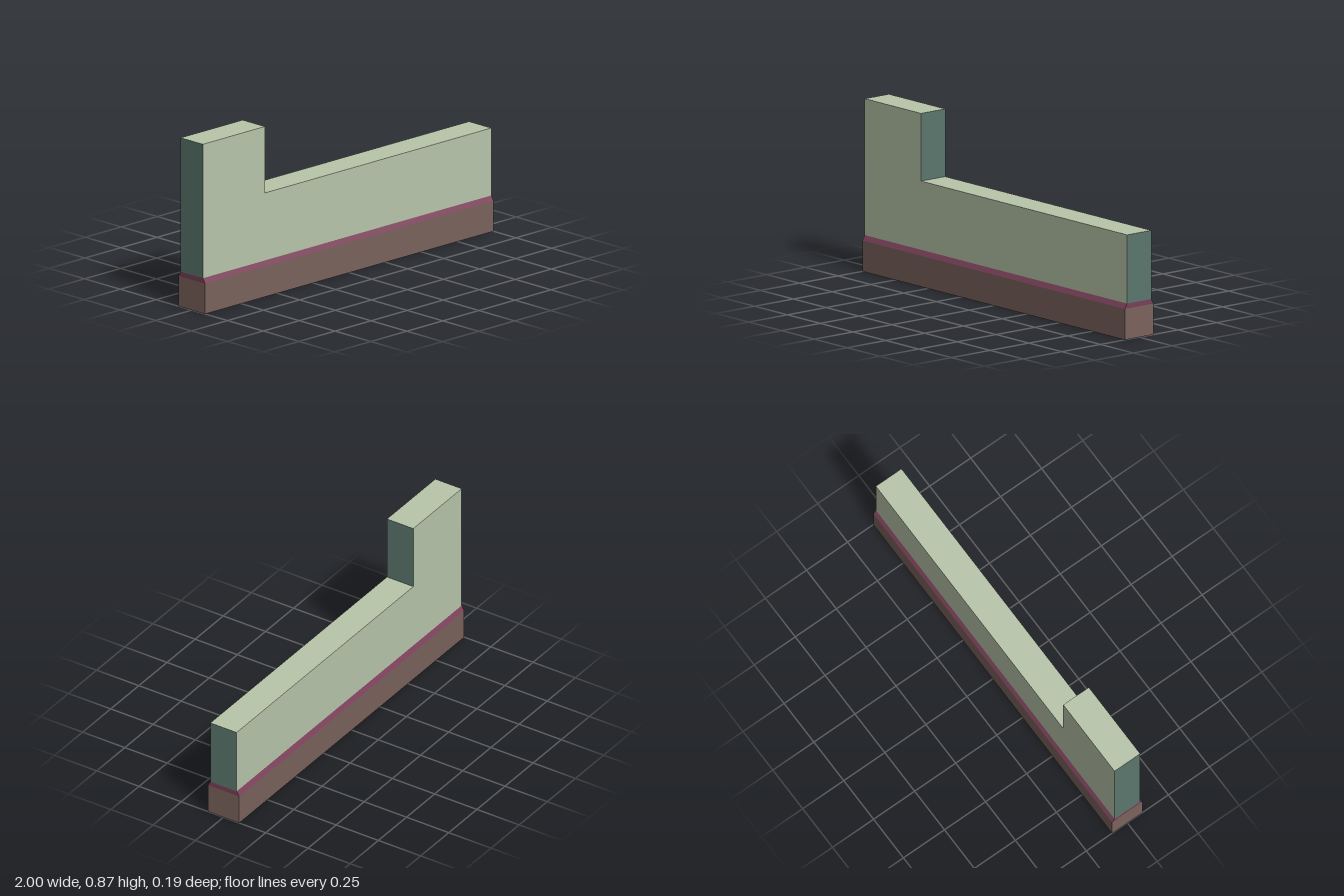
import * as THREE from 'three';

const paint = (name, color) => {
  const m = new THREE.MeshStandardMaterial({ color, side: THREE.DoubleSide });
  m.name = name;
  return m;
};

// Flat convex panels, each listed counter-clockwise as seen from outside
function panels(name, material, faces) {
  const pos = [];
  for (const f of faces) {
    for (let i = 1; i < f.length - 1; i++) pos.push(...f[0], ...f[i], ...f[i + 1]);
  }
  const g = new THREE.BufferGeometry();
  g.setAttribute('position', new THREE.Float32BufferAttribute(pos, 3));
  g.computeVertexNormals();
  const mesh = new THREE.Mesh(g, material);
  mesh.name = name;
  return mesh;
}

// Front and back panels between two heights, leaning from half depth d0 to d1
const sides = (x0, x1, y0, y1, d0, d1 = d0) => [
  [[x0, y0, d0], [x1, y0, d0], [x1, y1, d1], [x0, y1, d1]],
  [[x1, y0, -d0], [x0, y0, -d0], [x0, y1, -d1], [x1, y1, -d1]],
];

// End panel across the depth, facing +x (dir 1) or -x (dir -1)
const end = (x, dir, y0, y1, d0, d1 = d0) =>
  [[x, y0, dir * d0], [x, y0, -dir * d0], [x, y1, -dir * d1], [x, y1, dir * d1]];

const top = (x0, x1, y, d) => [[x0, y, d], [x1, y, d], [x1, y, -d], [x0, y, -d]];

export function createModel() {
  const green = paint('pale green wall', 0xb8c6aa);
  const teal = paint('teal wall end', 0x5b776e);
  const plum = paint('plum ledge', 0x7a4059);
  const brown = paint('brown plinth', 0x7b635c);

  const L = 1, step = -0.57;                 // half length, end of the tall part
  const yBase = 0.156, yLedge = 0.181, yLow = 0.528, yHigh = 0.87;
  const dBase = 0.093, dWall = 0.078;        // half depths

  const model = new THREE.Group();
  model.name = 'steppedWall';
  model.add(
    // Hollow plinth, open underneath
    panels('plinth', brown, [
      ...sides(-L, L, 0, yBase, dBase),
      end(L, 1, 0, yBase, dBase),
      end(-L, -1, 0, yBase, dBase),
    ]),
    // Sloping ledge between plinth and wall
    panels('ledge', plum, [
      ...sides(-L, L, yBase, yLedge, dBase, dWall),
      end(L, 1, yBase, yLedge, dBase, dWall),
      end(-L, -1, yBase, yLedge, dBase, dWall),
    ]),
    // Wall faces and tops
    panels('wallFaces', green, [
      ...sides(-L, step, yLedge, yHigh, dWall),
      ...sides(step, L, yLedge, yLow, dWall),
      top(-L, step, yHigh, dWall),
      top(step, L, yLow, dWall),
    ]),
    // Narrow wall ends and the riser of the step
    panels('wallEnds', teal, [
      end(L, 1, yLedge, yLow, dWall),
      end(step, 1, yLow, yHigh, dWall),
      end(-L, -1, yLedge, yHigh, dWall),
    ]),
  );
  return model;
}
